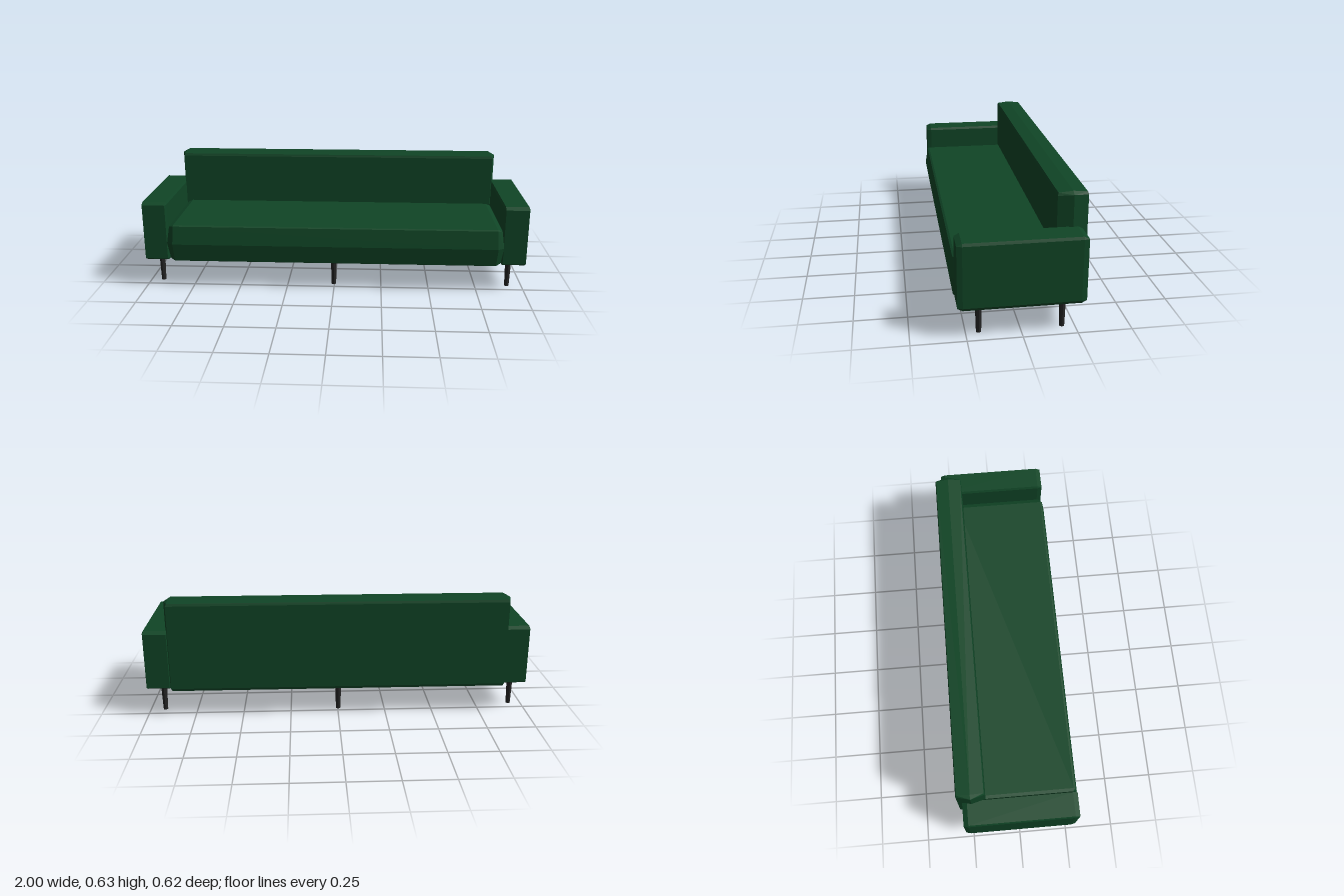
import * as THREE from 'three';
import { ConvexGeometry } from 'three/addons/geometries/ConvexGeometry.js';

const fabric = new THREE.MeshStandardMaterial({ color: 0x104526 });
fabric.name = 'greenFabric';
const wood = new THREE.MeshStandardMaterial({ color: 0x242424 });
wood.name = 'blackWood';

// Faceted solid around the points, mirrored in x
function mirroredHull(points) {
  const all = [];
  for (const [x, y, z] of points) {
    all.push(new THREE.Vector3(x, y, z), new THREE.Vector3(-x, y, z));
  }
  return new ConvexGeometry(all);
}

// Box with half sizes h and a chamfer inset c on each axis
function chamferedBox([hx, hy, hz], [cx, cy, cz]) {
  const points = [];
  for (const sy of [-1, 1]) {
    for (const sz of [-1, 1]) {
      points.push(
        [hx, sy * (hy - cy), sz * (hz - cz)],
        [hx - cx, sy * hy, sz * (hz - cz)],
        [hx - cx, sy * (hy - cy), sz * hz]
      );
    }
  }
  return mirroredHull(points);
}

export function createModel() {
  const sofa = new THREE.Group();
  sofa.name = 'sofa';

  function add(name, geometry, material, x, y, z) {
    const mesh = new THREE.Mesh(geometry, material);
    mesh.name = name;
    mesh.position.set(x, y, z);
    sofa.add(mesh);
    return mesh;
  }

  // Seat cushion with bulging front and ends
  const seat = [];
  for (const s of [-1, 1]) {
    seat.push(
      [0.84, s * 0.099, 0.285],
      [0.84, s * 0.094, 0.295],
      [0.865, s * 0.088, 0.275],
      [0.84, s * 0.099, -0.2],
      [0.865, s * 0.088, -0.2]
    );
  }
  seat.push([0.845, 0, 0.31], [0.877, 0, 0.29], [0.877, 0, -0.2]);
  add('seat', mirroredHull(seat), fabric, 0.002, 0.246, 0);

  // Backrest with a shallow ridge around its top, bottom and ends
  const back = [];
  for (const s of [-1, 1]) {
    back.push([0.887, s * 0.229, 0], [0.865, s * 0.242, 0]);
    for (const z of [-1, 1]) {
      back.push([0.868, s * 0.222, z * 0.07], [0.862, s * 0.235, z * 0.066]);
    }
  }
  add('backrest', mirroredHull(back), fabric, -0.004, 0.385, -0.239);

  // Armrests
  const arm = chamferedBox([0.065, 0.159, 0.288], [0.006, 0.013, 0.024]);
  add('leftArm', arm, fabric, 0.935, 0.306, 0.003);
  add('rightArm', arm, fabric, -0.935, 0.306, 0.003);

  // Tapered legs, the middle pair set slightly wider apart
  const leg = new THREE.CylinderGeometry(0.0165, 0.012, 0.16, 8).toNonIndexed();
  leg.computeVertexNormals();
  for (const [side, x, front, rear] of [
    ['left', 0.923, 0.19, -0.192],
    ['middle', -0.003, 0.208, -0.219],
    ['right', -0.935, 0.19, -0.192]
  ]) {
    add(side + 'FrontLeg', leg, wood, x, 0.08, front);
    add(side + 'BackLeg', leg, wood, x, 0.08, rear);
  }

  return sofa;
}
